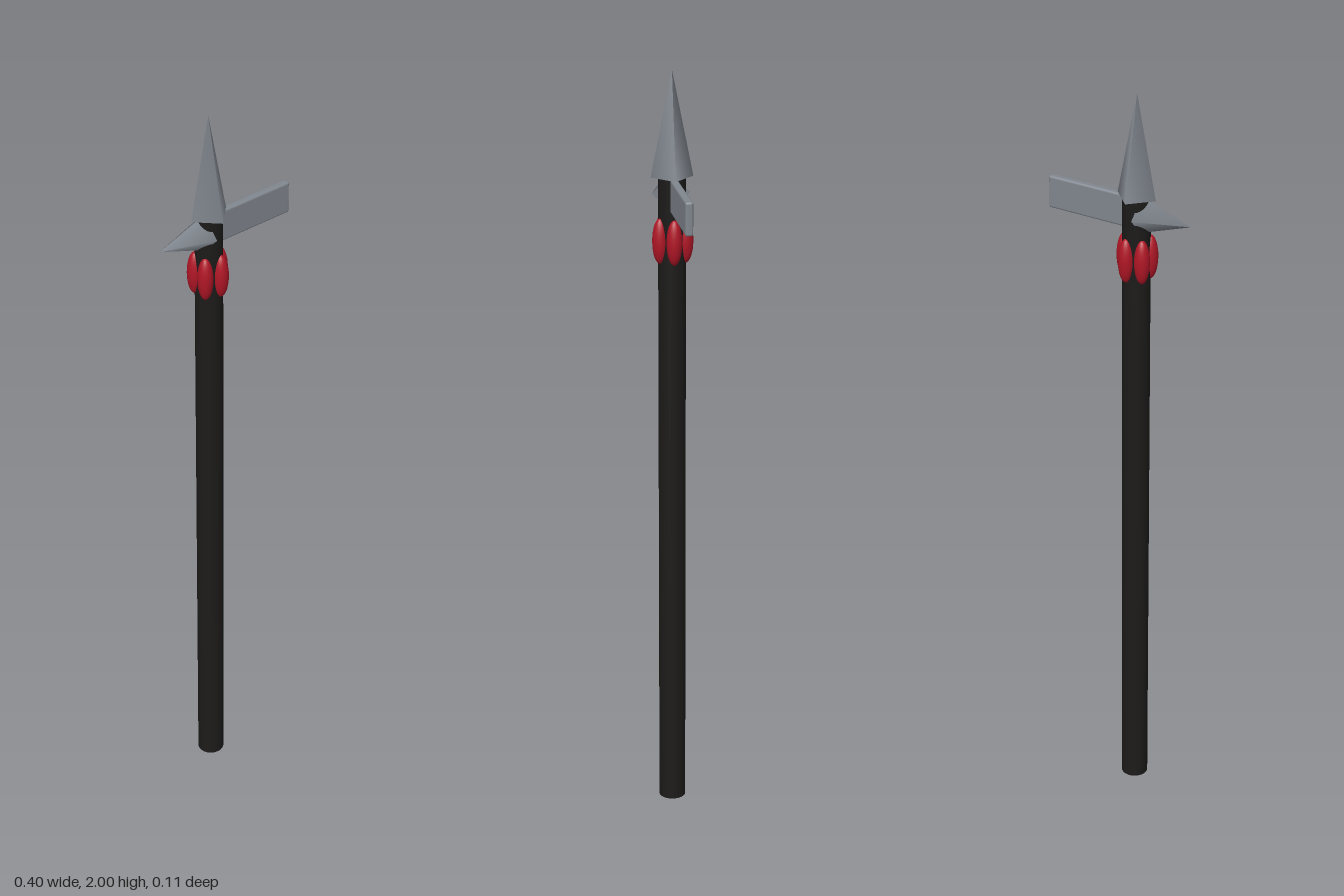
import * as THREE from 'three';
import { RoundedBoxGeometry } from 'three/addons/geometries/RoundedBoxGeometry.js';

const SHAFT_X = -0.048;

export function createModel() {
  const group = new THREE.Group();
  const mat = (name, color) => {
    const m = new THREE.MeshStandardMaterial({ color });
    m.name = name;
    return m;
  };
  const black = mat('black wood', 0x1c1b1a);
  const steel = mat('steel', 0x81878f);
  const red = mat('red binding', 0xb01626);

  const add = (name, geometry, material, x, y, z = 0) => {
    const mesh = new THREE.Mesh(geometry, material);
    mesh.name = name;
    mesh.position.set(x, y, z);
    group.add(mesh);
    return mesh;
  };

  // Long round shaft
  add('shaft', new THREE.CylinderGeometry(0.035, 0.035, 1.74, 32), black, SHAFT_X, 0.87);

  // Four-sided spear point, corners on the x and z axes
  add('spearPoint', new THREE.ConeGeometry(0.054, 0.27, 4), steel, SHAFT_X, 1.865);

  // Four-sided spike pointing to the right
  const spike = add('sideSpike', new THREE.ConeGeometry(0.049, 0.138, 4), steel, -0.131, 1.685);
  spike.rotation.z = Math.PI / 2;

  // Flat bar blade on the left, rooted in the shaft
  add('blade', new RoundedBoxGeometry(0.24, 0.086, 0.02, 3, 0.006), steel, 0.08, 1.688);

  // Ring of five elongated beads
  const bead = new THREE.SphereGeometry(0.02, 20, 16).scale(1, 2.95, 1);
  for (let i = 0; i < 5; i++) {
    const a = (i * Math.PI * 2) / 5;
    add('bindingBead' + (i + 1), bead, red, SHAFT_X + Math.cos(a) * 0.034, 1.568, Math.sin(a) * 0.034);
  }

  return group;
}
